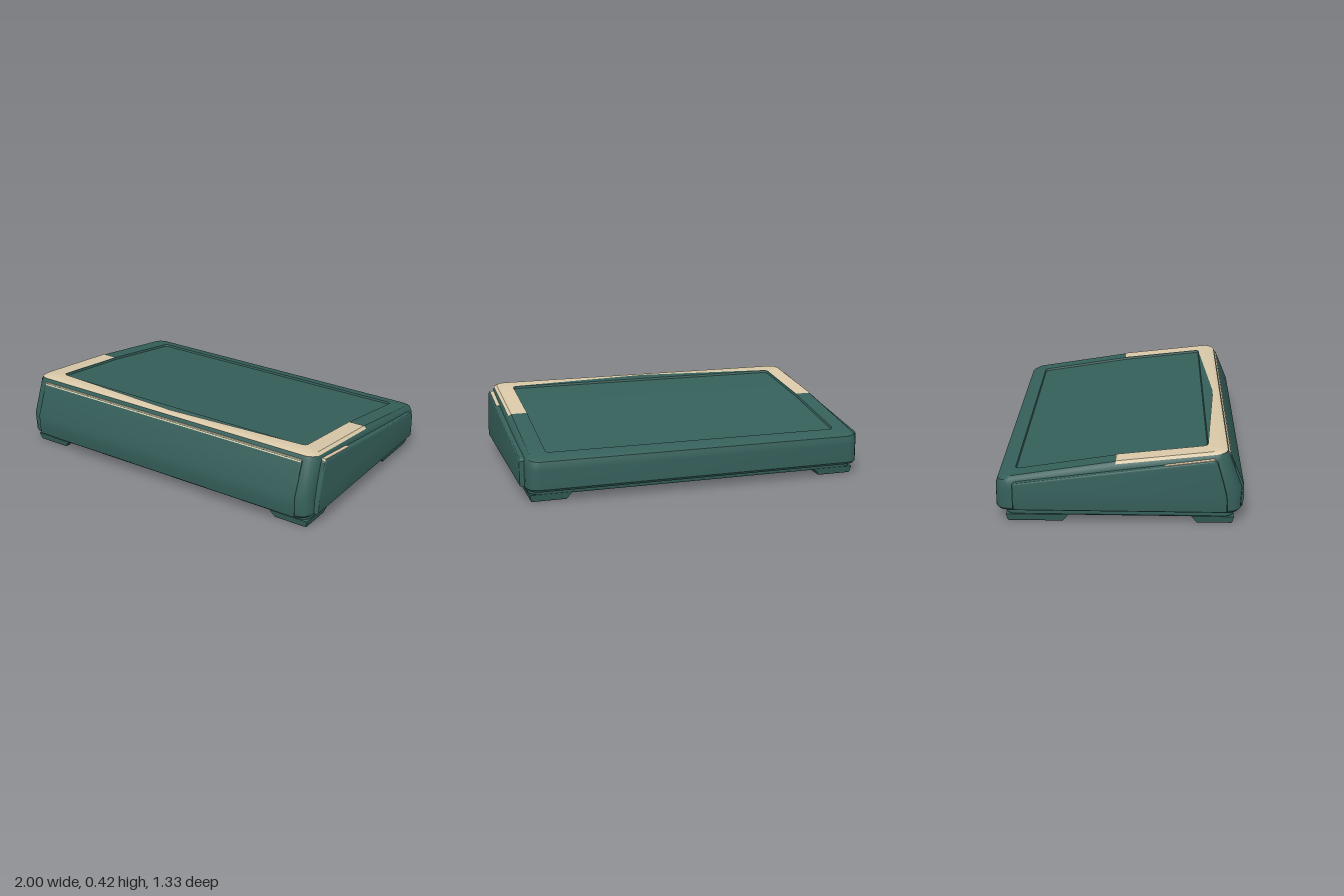
import * as THREE from 'three';
import { toCreasedNormals } from 'three/addons/utils/BufferGeometryUtils.js';

const KNEE = -0.02; // where the sloping top changes pitch

// height of the sloping top at depth z
const top = z => 0.35 + (z > KNEE ? 0.114 : 0.161) * (z - KNEE);
const below = d => z => top(z) - d;
const flat = y => () => y;

// rounded-rectangle loop: left knee, front corners, right knee, back corners
function ring(hx, zf, zb, r, height, zMid = zf) {
  const pts = [];
  const add = (x, z) => pts.push(new THREE.Vector3(x, height(z), z));
  const corner = (sx, cz, a0) => {
    for (let i = 0; i <= 4; i++) {
      const a = a0 + (i / 4) * Math.PI / 2;
      add(sx * (hx - r) + r * Math.cos(a), cz + r * Math.sin(a));
    }
  };
  add(hx, KNEE);
  corner(1, zf - r, 0);
  add(0, zMid);
  corner(-1, zf - r, Math.PI / 2);
  add(-hx, KNEE);
  corner(-1, zb + r, Math.PI);
  corner(1, zb + r, Math.PI * 1.5);
  return pts;
}

// skin between rings from bottom to top, with optional centre points for caps
function loft(rings, closed, bottom, cap) {
  const pos = [];
  const tri = (...v) => v.forEach(p => pos.push(p.x, p.y, p.z));
  const n = rings[0].length, m = closed ? n : n - 1;
  for (let i = 0; i < rings.length - 1; i++) {
    for (let j = 0; j < m; j++) {
      const k = (j + 1) % n, lo = rings[i], hi = rings[i + 1];
      tri(lo[j], hi[j], hi[k]);
      tri(lo[j], hi[k], lo[k]);
    }
  }
  const last = rings[rings.length - 1];
  for (let j = 0; j < m; j++) {
    const k = (j + 1) % n;
    if (bottom) tri(bottom, rings[0][j], rings[0][k]);
    if (cap) tri(cap, last[k], last[j]);
  }
  const g = new THREE.BufferGeometry();
  g.setAttribute('position', new THREE.Float32BufferAttribute(pos, 3));
  return toCreasedNormals(g, 0.55);
}

// side profile of [z, y] points extruded across x0..x1
function slab(profile, x0, x1, bevel) {
  const shape = new THREE.Shape(profile.map(([z, y]) => new THREE.Vector2(-z, y)));
  const g = new THREE.ExtrudeGeometry(shape, {
    depth: x1 - x0 - 2 * bevel, bevelEnabled: bevel > 0, bevelThickness: bevel,
    bevelSize: bevel, bevelOffset: -bevel, bevelSegments: 3,
  });
  g.rotateY(Math.PI / 2);
  g.translate(x0 + bevel, 0, 0);
  return toCreasedNormals(g, 0.5);
}

export function createModel() {
  const group = new THREE.Group();
  const green = new THREE.MeshStandardMaterial({ color: 0x355f5a });
  const beige = new THREE.MeshStandardMaterial({ color: 0xd9c8a8 });
  const black = new THREE.MeshStandardMaterial({ color: 0x1c1c1c });
  const beigeThin = new THREE.MeshStandardMaterial({ color: 0xd9c8a8, side: THREE.DoubleSide });
  const part = (name, geometry, material) => {
    const mesh = new THREE.Mesh(geometry, material);
    mesh.name = name;
    group.add(mesh);
    return mesh;
  };

  // wedge case with base plinth, rounded shoulder and shallow top recess
  part('case', loft([
    ring(0.945, 0.605, -0.605, 0.05, flat(0.036)),
    ring(0.955, 0.612, -0.61, 0.05, flat(0.045)),
    ring(0.955, 0.612, -0.61, 0.05, flat(0.068)),
    ring(0.96, 0.64, -0.655, 0.06, flat(0.068)),
    ring(0.974, 0.65, -0.665, 0.07, flat(0.082)),
    ring(0.974, 0.655, -0.665, 0.07, flat(0.19)),
    ring(0.972, 0.582, -0.663, 0.07, below(0.036)),
    ring(0.961, 0.57, -0.655, 0.06, below(0.012)),
    ring(0.945, 0.548, -0.63, 0.05, top),
    ring(0.852, 0.47, -0.565, 0.025, top),
    ring(0.848, 0.466, -0.561, 0.022, below(0.012)),
  ], true, new THREE.Vector3(0, 0.036, KNEE), new THREE.Vector3(0, top(KNEE) - 0.012, KNEE)), green);

  // light trim around the front half of the rim
  const lift = z => top(z) + 0.003;
  part('rimTrim', loft([
    ring(0.963, 0.573, -0.655, 0.06, below(0.01)),
    ring(0.946, 0.55, -0.63, 0.05, lift),
    ring(0.853, 0.47, -0.565, 0.025, lift, 0.53),
  ].map(r => r.slice(0, 13)), false), beigeThin);

  // raised front panel and its stripe
  part('frontPanel', slab([[0.658, 0.074], [0.667, 0.13], [0.665, 0.2], [0.59, 0.382],
    [0.54, 0.382], [0.54, 0.074]], -0.9, 0.9, 0.01), green);
  part('frontStripe', slab([[0.594, 0.373], [0.588, 0.386], [0.565, 0.386], [0.565, 0.373]],
    -0.895, 0.895, 0), beige);

  for (const s of [1, -1]) {
    const side = s > 0 ? 'left' : 'right';
    const span = (a, b) => (s > 0 ? [a, b] : [-b, -a]);

    // raised side panel and its stripe
    part(side + 'SidePanel', slab([[0.575, 0.08], [0.57, 0.17], [0.55, 0.25], [0.517, 0.365],
      [0.5, 0.379], [-0.555, 0.236], [-0.568, 0.225], [-0.568, 0.08]],
    ...span(0.94, 1), 0.012), green);
    part(side + 'SideStripe', slab([[0.51, 0.37], [0.5, 0.381], [0.24, 0.346], [0.24, 0.338],
      [0.49, 0.37]], ...span(0.96, 0.992), 0), beige);

    // corner feet: boxes tapering towards the bottom, each with a dark pad
    for (const [end, z0, z1] of [['Front', 0.385, 0.612], ['Back', -0.61, -0.275]]) {
      const w = 0.235, d = z1 - z0, cx = s * 0.8375, cz = (z0 + z1) / 2;
      const foot = new THREE.BoxGeometry(w, 0.036, d).toNonIndexed();
      const p = foot.attributes.position;
      for (let i = 0; i < p.count; i++) {
        if (p.getY(i) > 0) continue;
        const x = p.getX(i), z = p.getZ(i);
        p.setX(i, x - Math.sign(x) * (x * s < 0 ? 0.028 : 0.008));
        p.setZ(i, z - Math.sign(z) * (z * cz < 0 ? 0.026 : 0.008));
      }
      foot.computeVertexNormals();
      part(side + end + 'Foot', foot, green).position.set(cx, 0.022, cz);
      const pad = new THREE.BoxGeometry(w - 0.04, 0.006, d - 0.04);
      part(side + end + 'Pad', pad, black)
        .position.set(cx + s * 0.01, 0.003, cz + Math.sign(cz) * 0.009);
    }
  }
  return group;
}
